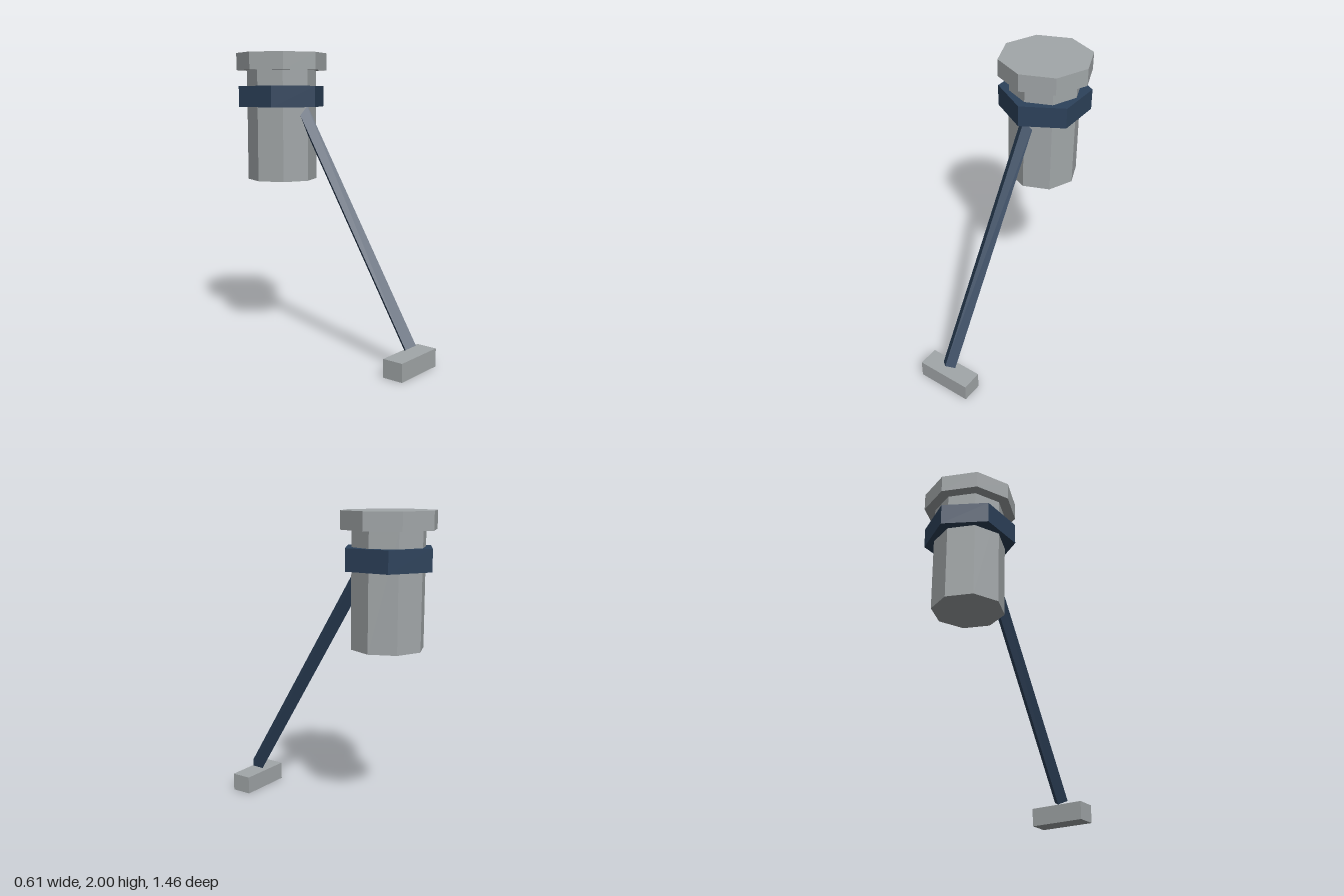
import * as THREE from 'three';

export function createModel() {
  const model = new THREE.Group();
  const material = (name, color) => {
    const m = new THREE.MeshStandardMaterial({ color, flatShading: true });
    m.name = name;
    return m;
  };
  const grey = material('light grey', 0xa2a7a9);
  const navy = material('dark blue', 0x2d425b);

  const add = (name, geometry, mat, x, y, z) => {
    const mesh = new THREE.Mesh(geometry, mat);
    mesh.name = name;
    mesh.position.set(x, y, z);
    model.add(mesh);
    return mesh;
  };

  // Upright faceted prism between two heights, on the head's axis
  const headZ = -0.424;
  const prism = (name, radius, sides, y0, y1, mat) =>
    add(name, new THREE.CylinderGeometry(radius, radius, y1 - y0, sides), mat, 0, (y0 + y1) / 2, headZ);

  // Head: octagonal body and cap, with a hexagonal collar
  prism('body', 0.235, 8, 1.145, 1.89, grey);
  prism('cap', 0.306, 8, 1.885, 2, grey);
  prism('collar', 0.301, 6, 1.64, 1.78, navy);

  // Slanted four-sided handle running from the foot into the head
  const low = new THREE.Vector3(0, 0.155, 0.66);
  const high = new THREE.Vector3(0, 1.7, -0.279);
  const axis = high.clone().sub(low);
  const middle = low.clone().add(high).multiplyScalar(0.5);
  const handle = add('handle', new THREE.CylinderGeometry(0.05, 0.05, axis.length(), 4), navy, ...middle.toArray());
  handle.rotation.x = Math.atan2(axis.z, axis.y);

  // Cross grip below the lower end of the handle
  add('grip', new THREE.BoxGeometry(0.376, 0.12, 0.14), grey, 0, 0.06, 0.66);

  return model;
}
